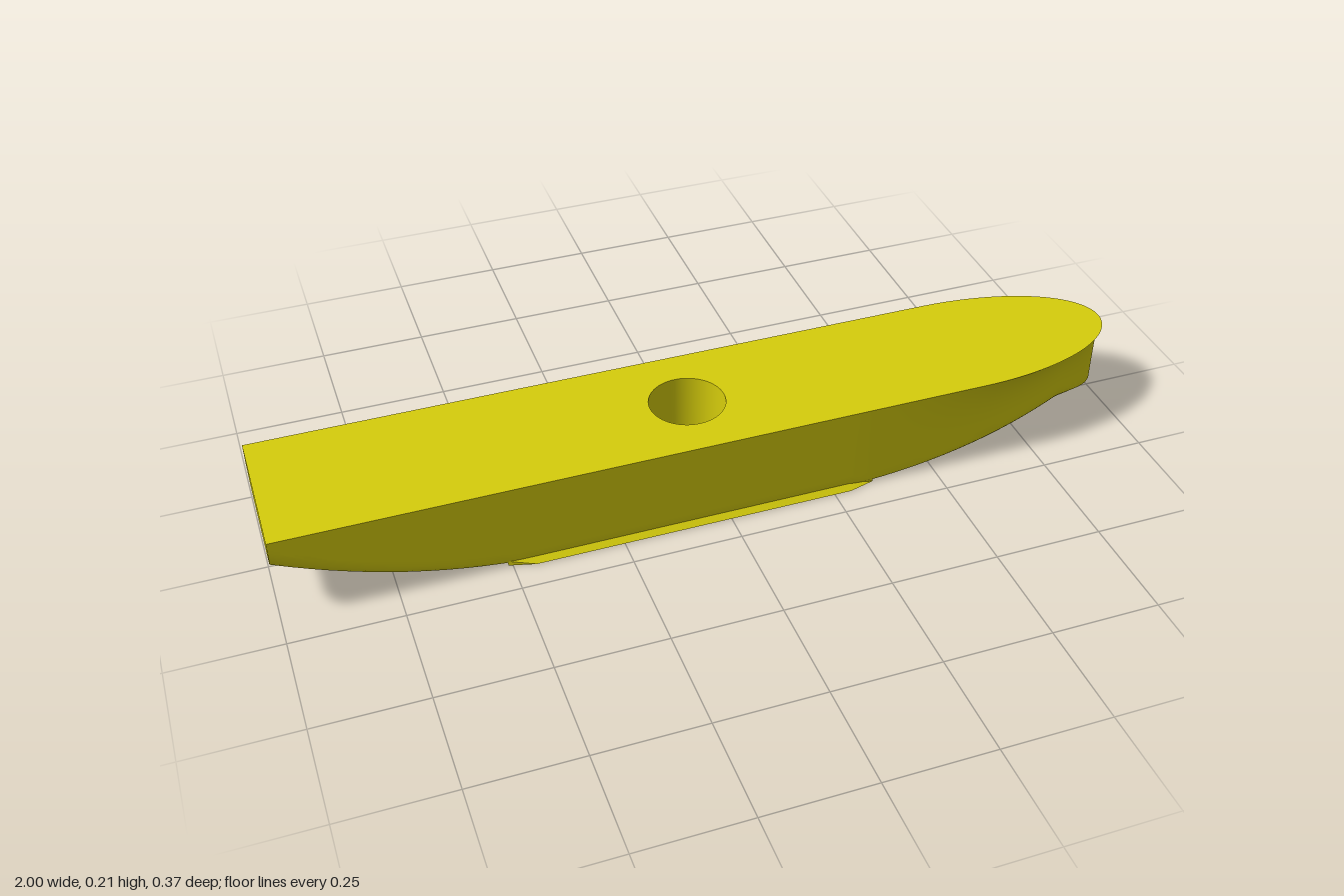
import * as THREE from 'three';
import { mergeGeometries, toCreasedNormals } from 'three/addons/utils/BufferGeometryUtils.js';

const DECK = 0.207, HALF = 0.172, HOLE_X = -0.04, HOLE_R = 0.087;
const GAP = [-0.2, 0.12]; // stretch of flat bottom that carries the well opening
const clamp = (v) => Math.min(1, Math.max(0, v));

// hull lines as functions of length
const sternT = (x) => clamp((-0.45 - x) / 0.55);
const bowT = (x) => clamp((x - 0.3) / 0.69);
const deckHalf = (x) => HALF * Math.sqrt(1 - clamp((x - 0.62) / 0.38) ** 2);
const lowHalf = (x) => Math.min(deckHalf(x), Math.max(0.005, HALF * (1 - bowT(x) ** 2)));
const keel = (x) => 0.12 * sternT(x) ** 2 + 0.025 * (1 - Math.sqrt(1 - clamp((x - 0.97) / 0.03) ** 2));
const bilge = (x) => Math.min(0.01 + 0.05 * sternT(x) + 0.035 * bowT(x), lowHalf(x) * 0.9);

// half section from the deck edge down to the flat of the bottom
function halfSection(x) {
  const w = lowHalf(x), d = deckHalf(x), k = keel(x), r = bilge(x), pts = [];
  for (let i = 0; i <= 10; i++) {
    const s = 1 - i / 10;
    pts.push([x, k + r + (DECK - k - r) * s, w + (d - w) * s ** 2.8]);
  }
  for (let i = 1; i <= 6; i++) {
    const a = (i / 6) * Math.PI / 2;
    pts.push([x, k + r - r * Math.sin(a), w - r + r * Math.cos(a)]);
  }
  return pts;
}

function fullSection(x) {
  const half = halfSection(x);
  return [...half, ...half.map(([px, y, z]) => [px, y, -z]).reverse()];
}

function fromTriangles(tris) {
  const g = new THREE.BufferGeometry();
  g.setAttribute('position', new THREE.Float32BufferAttribute(tris.flat(2), 3));
  g.computeVertexNormals();
  return g;
}

// skin a list of cross-sections
function loft(rows, skip = () => false) {
  const tris = [];
  for (let i = 0; i < rows.length - 1; i++) {
    for (let j = 0; j < rows[i].length - 1; j++) {
      if (skip(i, j)) continue;
      const a = rows[i][j], b = rows[i][j + 1], c = rows[i + 1][j + 1], d = rows[i + 1][j];
      tris.push([a, b, c], [a, c, d]);
    }
  }
  return fromTriangles(tris);
}

function plateWithHole(points) {
  const shape = new THREE.Shape(points);
  const hole = new THREE.Path();
  hole.absarc(HOLE_X, 0, HOLE_R, 0, Math.PI * 2, true);
  shape.holes.push(hole);
  return new THREE.ShapeGeometry(shape, 32);
}

export function createModel() {
  const model = new THREE.Group();
  const yellow = new THREE.MeshStandardMaterial({ color: 0xd6cd0c });
  yellow.name = 'hullYellow';
  const add = (name, geometry) => {
    const mesh = new THREE.Mesh(geometry, yellow);
    mesh.name = name;
    model.add(mesh);
    return mesh;
  };

  // stations, closer together towards the bow
  const xs = [];
  for (let i = 0; i < 16; i++) xs.push(-1 + i * 0.04);
  xs.push(-0.36, ...GAP, 0.22);
  for (let i = 0; i < 8; i++) xs.push(0.3 + i * 0.04);
  for (let i = 0; i <= 28; i++) xs.push(0.62 + 0.38 * Math.sin((i / 28) * Math.PI / 2));

  // hull skin, with the transom closing the stern
  const rows = xs.map(fullSection);
  const flatColumn = rows[0].length / 2 - 1;
  const skin = loft(rows, (i, j) => xs[i] === GAP[0] && j === flatColumn);
  add('hull', toCreasedNormals(skin, 0.6));
  const end = rows[0], centre = [-1, DECK, 0], fan = [];
  for (let j = 0; j < end.length - 1; j++) fan.push([centre, end[j + 1], end[j]]);
  add('transom', fromTriangles(fan));

  // deck and bottom plates around the central well
  const edge = xs.map((x) => new THREE.Vector2(x, -deckHalf(x)));
  const other = xs.slice(0, -1).reverse().map((x) => new THREE.Vector2(x, deckHalf(x)));
  add('deck', plateWithHole([...edge, ...other]).rotateX(-Math.PI / 2).translate(0, DECK, 0));
  const f = HALF - bilge(0);
  const corners = [[GAP[0], -f], [GAP[1], -f], [GAP[1], f], [GAP[0], f]];
  add('bottomPlate', plateWithHole(corners.map(([x, z]) => new THREE.Vector2(x, z))).rotateX(Math.PI / 2));

  // inward-facing wall of the well
  const wall = [new THREE.Vector2(HOLE_R, DECK), new THREE.Vector2(HOLE_R, 0)];
  add('wellWall', new THREE.LatheGeometry(wall, 64).translate(HOLE_X, 0, 0));

  // low flared skirts along the bilges
  const skirtRows = [[-0.51, 0.17], [-0.45, 0.186], [0.29, 0.186], [0.35, 0.17]];
  for (const side of [1, -1]) {
    const sections = skirtRows.map(([x, w]) => {
      const pts = [[x, 0.012, 0.17 * side], [x, 0, w * side], [x, 0, 0.163 * side]];
      return side > 0 ? pts : pts.reverse();
    });
    add(side > 0 ? 'frontSkirt' : 'backSkirt', toCreasedNormals(loft(sections), 0.3));
  }

  // teardrop skegs under the stern: one aft on the centreline, two ahead of it
  const skeg = (name, x, y, z, length, width, height) => {
    const s = new THREE.Shape();
    s.moveTo(-length / 2, 0);
    s.quadraticCurveTo(-length * 0.1, -width * 0.5, length * 0.2, -width * 0.5);
    s.bezierCurveTo(length * 0.6, -width * 0.5, length * 0.6, width * 0.5, length * 0.2, width * 0.5);
    s.quadraticCurveTo(-length * 0.1, width * 0.5, -length / 2, 0);
    const g = new THREE.ExtrudeGeometry(s, { depth: height, bevelEnabled: false, curveSegments: 12 });
    g.rotateX(-Math.PI / 2);
    // widen towards the hull
    const p = g.attributes.position;
    for (let i = 0; i < p.count; i++) p.setZ(i, p.getZ(i) * (1 + 0.5 * p.getY(i) / height));
    g.translate(x, y, z);
    add(name, toCreasedNormals(g, 0.6));
  };
  skeg('centreSkeg', -0.87, 0.04, 0, 0.14, 0.06, 0.08);
  for (const side of [1, -1]) skeg(side > 0 ? 'frontSkeg' : 'backSkeg', -0.73, 0.028, 0.1 * side, 0.14, 0.06, 0.05);

  return model;
}
